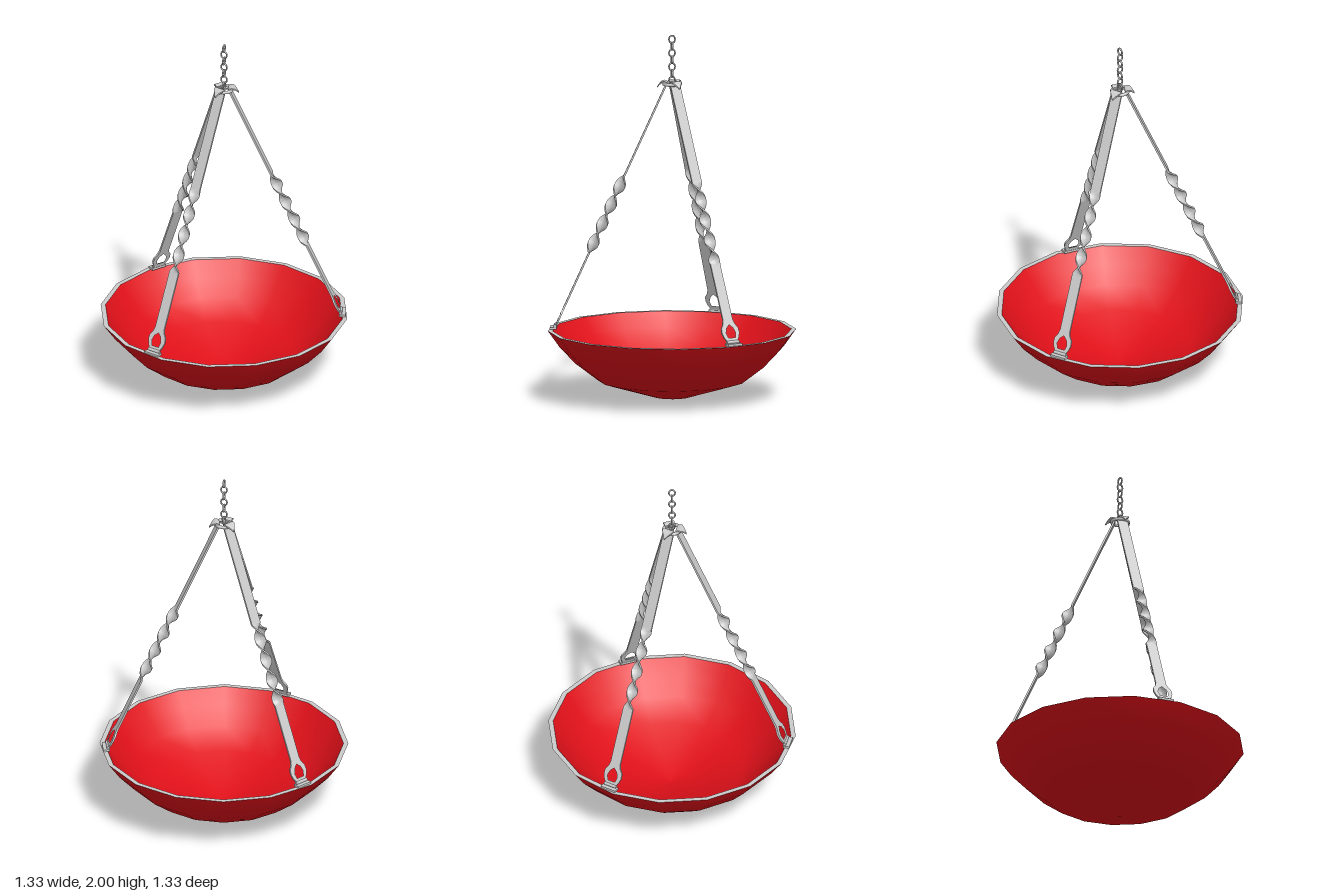
import * as THREE from 'three';
import { toCreasedNormals } from 'three/addons/utils/BufferGeometryUtils.js';

const grey = new THREE.MeshStandardMaterial({ color: 0xcccccc });
const red = new THREE.MeshStandardMaterial({ color: 0xe01019 });

function add(parent, name, geometry, material = grey) {
  const mesh = new THREE.Mesh(geometry, material);
  mesh.name = name;
  parent.add(mesh);
  return mesh;
}

const lathe = (points) =>
  new THREE.LatheGeometry(points.map(([r, y]) => new THREE.Vector2(r, y)), 16, -0.15);

// Faceted dish: outer shell, inner shell and a flat rim between them
function makeBowl() {
  const bowl = new THREE.Group();
  bowl.name = 'bowl';
  const outer = [[0, 0], [0.1, 0.015], [0.4, 0.105], [0.525, 0.2], [0.61, 0.29], [0.674, 0.38]];
  const inner = [[0.648, 0.38], [0.588, 0.3], [0.507, 0.215], [0.388, 0.124], [0.1, 0.035], [0, 0.02]];
  add(bowl, 'bowlOutside', lathe(outer), red);
  add(bowl, 'bowlInside', lathe(inner), red);
  add(bowl, 'bowlRim', lathe([[0.674, 0.38], [0.648, 0.38]]));
  return bowl;
}

const WIDTH = 0.06, THICK = 0.01;
const RUN = 0.6, DROP = 1.33, LENGTH = Math.hypot(RUN, DROP);
const TWIST_FROM = 0.56, TWIST_TO = 1.02, BAR_END = 1.06;

// Flat bar running down -y, turned twice about its axis in the middle
function twistedBar() {
  const g = new THREE.BoxGeometry(THICK, BAR_END, WIDTH, 1, 160, 2);
  g.translate(0, -BAR_END / 2, 0);
  const p = g.attributes.position, v = new THREE.Vector3();
  const axis = new THREE.Vector3(0, 1, 0);
  for (let i = 0; i < p.count; i++) {
    v.fromBufferAttribute(p, i);
    const t = THREE.MathUtils.clamp((-v.y - TWIST_FROM) / (TWIST_TO - TWIST_FROM), 0, 1);
    v.applyAxisAngle(axis, t * Math.PI * 4);
    p.setXYZ(i, v.x, v.y, v.z);
  }
  return toCreasedNormals(g, 0.7);
}

// Lower end of the bar, widening into an eye with a hole
function eyePlate() {
  const e = -LENGTH;
  const half = [[0.03, -BAR_END], [0.03, e + 0.125], [0.037, e + 0.1], [0.052, e + 0.078],
    [0.054, e + 0.05], [0.046, e + 0.025], [0.03, e]];
  const mirrored = half.map(([x, y]) => [-x, y]).reverse();
  const toPoints = (list) => list.map(([x, y]) => new THREE.Vector2(x, y));
  const shape = new THREE.Shape(toPoints([...half, ...mirrored]));
  shape.holes.push(new THREE.Path(toPoints([[0, e + 0.097], [0.02, e + 0.078], [0.03, e + 0.05],
    [0.022, e + 0.022], [-0.022, e + 0.022], [-0.03, e + 0.05], [-0.02, e + 0.078]])));
  const g = new THREE.ExtrudeGeometry(shape, { depth: THICK, bevelEnabled: false });
  return g.translate(0, 0, -THICK / 2).rotateY(Math.PI / 2);
}

// Pointed tongue folded over the top ring and drooping outwards
function tongue() {
  const g = new THREE.BoxGeometry(1, 0.008, 0.06, 8, 1, 1);
  const p = g.attributes.position;
  for (let i = 0; i < p.count; i++) {
    const t = p.getX(i) + 0.5;
    const taper = t < 0.5 ? 1 : 1 - 1.8 * (t - 0.5);
    p.setXYZ(i, 0.025 + 0.055 * t, 1.738 + p.getY(i) + 0.01 * Math.sin(t * Math.PI) - 0.025 * t * t,
      p.getZ(i) * taper);
  }
  return toCreasedNormals(g, 0.7);
}

function makeArm(angle) {
  const arm = new THREE.Group();
  arm.name = 'hangingArm';
  arm.rotation.y = -angle;
  const strap = new THREE.Group();
  strap.name = 'strap';
  strap.position.set(0.03, 1.73, 0);
  strap.rotation.z = Math.atan2(RUN, DROP);
  arm.add(strap);
  add(strap, 'twistedBar', twistedBar());
  add(strap, 'eyePlate', eyePlate());
  add(arm, 'ringTongue', tongue());
  // Foot plate and hinge pin resting on the rim
  add(arm, 'footPlate', new THREE.BoxGeometry(0.036, 0.012, 0.09)).position.set(0.643, 0.388, 0);
  const pin = add(arm, 'footPin', new THREE.CylinderGeometry(0.009, 0.009, 0.075, 8));
  pin.rotation.x = Math.PI / 2;
  pin.position.set(0.633, 0.4, 0);
  return arm;
}

// Oval links, each turned a quarter from the one above
function makeChain() {
  const chain = new THREE.Group();
  chain.name = 'chain';
  for (let i = 0; i < 7; i++) {
    const link = add(chain, 'chainLink', new THREE.TorusGeometry(0.02, 0.005, 8, 16));
    link.scale.x = 0.85;
    link.rotation.y = i % 2 ? 0 : Math.PI / 2;
    link.position.y = 1.975 - i * 0.0375;
  }
  return chain;
}

export function createModel() {
  const model = new THREE.Group();
  model.name = 'hangingBowl';
  model.add(makeBowl());
  for (const degrees of [-19.4, 105.2, 214.4]) {
    model.add(makeArm(THREE.MathUtils.degToRad(degrees)));
  }
  // Ring gathering the arms, with a cross pin for the lowest link
  const ring = add(model, 'topRing', new THREE.TorusGeometry(0.045, 0.009, 8, 20));
  ring.rotation.x = Math.PI / 2;
  ring.position.y = 1.73;
  const crossPin = add(model, 'crossPin', new THREE.CylinderGeometry(0.005, 0.005, 0.09, 8));
  crossPin.rotation.z = Math.PI / 2;
  crossPin.position.y = 1.735;
  model.add(makeChain());
  return model;
}
